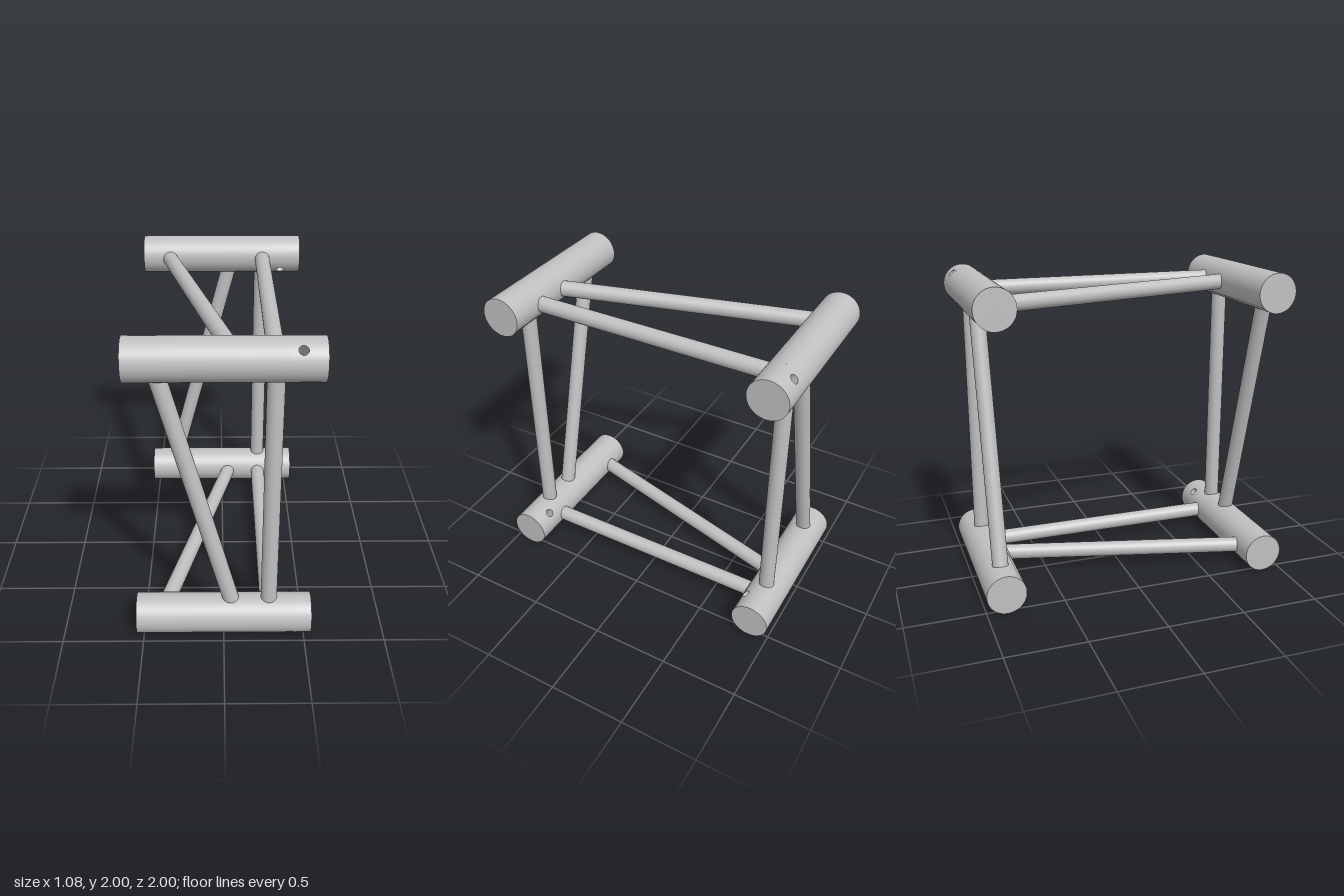
import * as THREE from 'three';
import { mergeGeometries } from 'three/addons/utils/BufferGeometryUtils.js';

const R = 0.125;        // chord radius
const HALF = 0.54;      // half length of a chord
const C = 0.875;        // chord offset from the centre, in height and depth
const HOLE_X = 0.41, HOLE_R = 0.027;
const PATCH_X = 0.06, PATCH_A = 0.5; // half size of the drilled patch (length, angle)

// cylinder wall along x, from x0 to x1
function tube(x0, x1, open = false, start = 0, sweep = Math.PI * 2) {
  const segs = Math.round(64 * sweep / (Math.PI * 2));
  return new THREE.CylinderGeometry(R, R, x1 - x0, segs, 1, open, start, sweep)
    .rotateZ(Math.PI / 2).translate((x0 + x1) / 2, 0, 0);
}

// curved wall patch facing +y, with a round hole in its middle
function drilledPatch() {
  const n = 48, rings = 4, pos = [], nor = [], uv = [], idx = [];
  for (let j = 0; j <= rings; j++) {
    for (let i = 0; i <= n; i++) {
      const a = i / n * Math.PI * 2, c = Math.cos(a), s = Math.sin(a), t = j / rings;
      const m = Math.max(Math.abs(c), Math.abs(s));
      const x = THREE.MathUtils.lerp(HOLE_R * c, PATCH_X * c / m, t);
      const th = THREE.MathUtils.lerp(Math.asin(HOLE_R * s / R), PATCH_A * s / m, t);
      pos.push(HOLE_X + x, R * Math.cos(th), R * Math.sin(th));
      nor.push(0, Math.cos(th), Math.sin(th));
      uv.push(i / n, t);
      if (i < n && j < rings) {
        const p = j * (n + 1) + i, q = p + n + 1;
        idx.push(p, p + 1, q, p + 1, q + 1, q);
      }
    }
  }
  const g = new THREE.BufferGeometry();
  g.setAttribute('position', new THREE.Float32BufferAttribute(pos, 3));
  g.setAttribute('normal', new THREE.Float32BufferAttribute(nor, 3));
  g.setAttribute('uv', new THREE.Float32BufferAttribute(uv, 2));
  g.setIndex(idx);
  return g;
}

// bore through the chord, its rims trimmed to the round wall
function bore() {
  const g = new THREE.CylinderGeometry(HOLE_R, HOLE_R, 2 * R, 48, 1, true);
  const p = g.attributes.position;
  for (let i = 0; i < p.count; i++) {
    p.setY(i, Math.sign(p.getY(i)) * Math.sqrt(R * R - p.getZ(i) ** 2));
  }
  return g.translate(HOLE_X, 0, 0);
}

export function createModel() {
  const model = new THREE.Group();
  model.name = 'trussSegment';
  const steel = new THREE.MeshStandardMaterial({ color: 0xc0c0c0, side: THREE.DoubleSide });
  steel.name = 'steel grey';

  // chord geometries: plain body, and an end piece with a cross-drilled hole
  const x0 = HOLE_X - PATCH_X, x1 = HOLE_X + PATCH_X;
  const sweep = Math.PI - 2 * PATCH_A;
  const bodyGeometry = tube(-HALF, x0);
  const endGeometry = mergeGeometries([
    tube(x0, x1, true, -sweep / 2, sweep),
    tube(x0, x1, true, Math.PI - sweep / 2, sweep),
    drilledPatch(),
    drilledPatch().rotateX(Math.PI),
    bore(),
    tube(x1, HALF),
  ]);

  // four chords, holes pointing diagonally outwards
  for (const sy of [1, -1]) {
    for (const sz of [1, -1]) {
      const chord = new THREE.Group();
      chord.name = `${sy > 0 ? 'top' : 'bottom'}${sz > 0 ? 'Front' : 'Back'}Chord`;
      const body = new THREE.Mesh(bodyGeometry, steel);
      body.name = 'chordBody';
      const end = new THREE.Mesh(endGeometry, steel);
      end.name = 'drilledChordEnd';
      chord.add(body, end);
      chord.position.set(0, 1 + sy * C, sz * C);
      chord.rotation.x = Math.atan2(sz, sy);
      model.add(chord);
    }
  }

  // round bar between two chord axes
  function bar(name, from, to) {
    const a = new THREE.Vector3(...from), b = new THREE.Vector3(...to);
    const mesh = new THREE.Mesh(new THREE.CylinderGeometry(0.05, 0.05, a.distanceTo(b), 40), steel);
    mesh.name = name;
    mesh.position.copy(a).add(b).multiplyScalar(0.5);
    mesh.quaternion.setFromUnitVectors(new THREE.Vector3(0, 1, 0), b.sub(a).normalize());
    model.add(mesh);
  }

  // each of the four sides has one straight strut and one diagonal brace
  const strutX = 0.28, nearX = 0.075, farX = -0.387;
  for (const s of [1, -1]) {
    const face = s > 0 ? 'front' : 'back', level = s > 0 ? 'top' : 'bottom';
    const [lowX, highX] = s > 0 ? [nearX, farX] : [farX, nearX];
    bar(`${face}Strut`, [strutX, 1 - C, s * C], [strutX, 1 + C, s * C]);
    bar(`${face}Diagonal`, [lowX, 1 - C, s * C], [highX, 1 + C, s * C]);
    bar(`${level}Strut`, [strutX, 1 + s * C, -C], [strutX, 1 + s * C, C]);
    bar(`${level}Diagonal`, [highX, 1 + s * C, -C], [lowX, 1 + s * C, C]);
  }
  return model;
}
